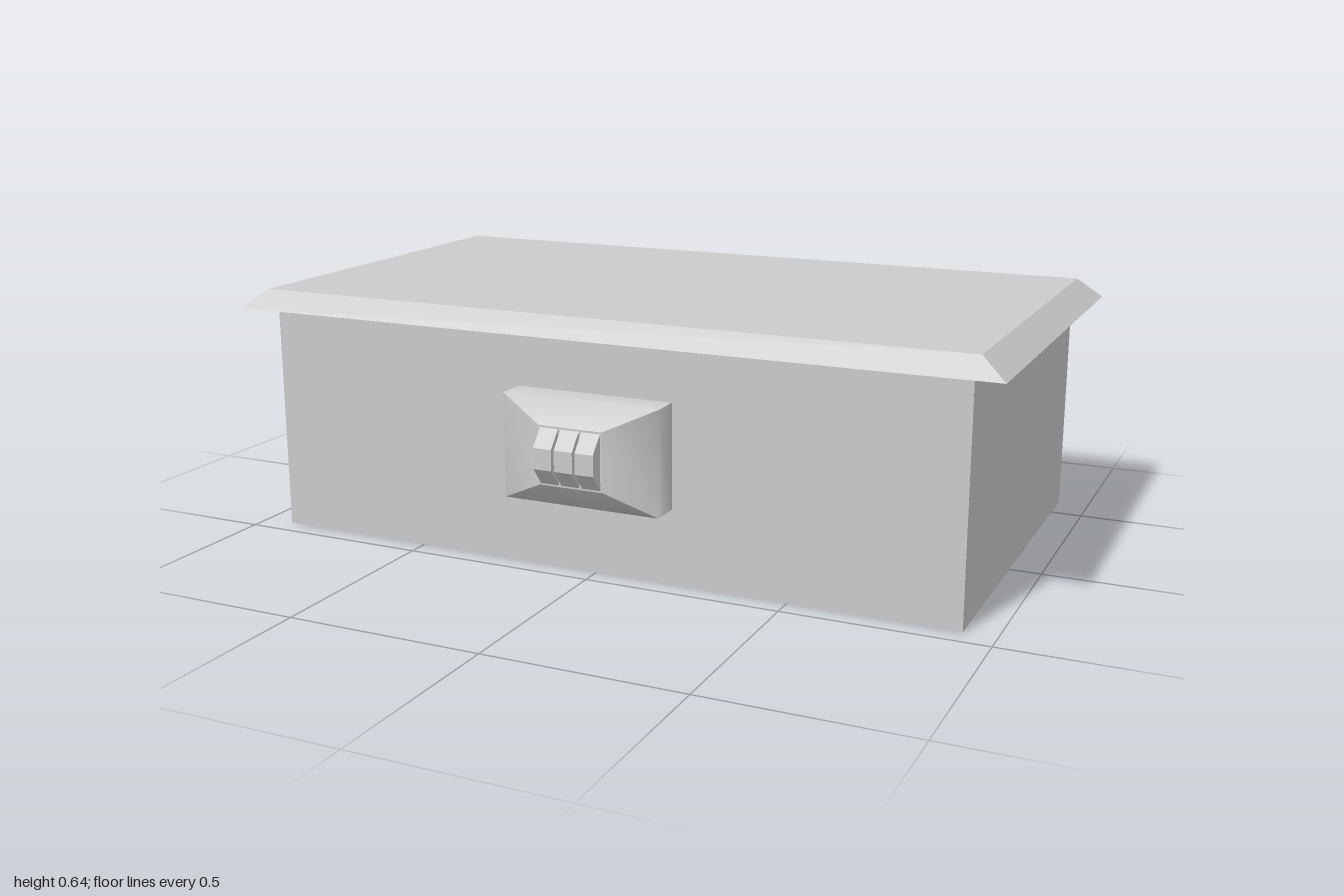
import * as THREE from 'three';

const material = new THREE.MeshStandardMaterial({ color: 0xcccccc });

function addMesh(parent, name, geometry) {
  const mesh = new THREE.Mesh(geometry, material);
  mesh.name = name;
  parent.add(mesh);
  return mesh;
}

// Stack of rectangles [z, x0, x1, y0, y1] along +z, capped at both ends.
// Each side is its own strip: smooth along its length, sharp at the corners.
function rectLoft(rings) {
  const corners = rings.map(([z, x0, x1, y0, y1]) =>
    [[x0, y0, z], [x1, y0, z], [x1, y1, z], [x0, y1, z]]);
  const positions = [];
  const index = [];
  for (let side = 0; side < 4; side++) {
    const start = positions.length / 3;
    corners.forEach((c, i) => {
      positions.push(...c[side], ...c[(side + 1) % 4]);
      if (i === 0) return;
      const a = start + 2 * (i - 1);
      index.push(a, a + 1, a + 3, a, a + 3, a + 2);
    });
  }
  const cap = (c) => {
    const s = positions.length / 3;
    positions.push(...c.flat());
    index.push(s, s + 1, s + 2, s, s + 2, s + 3);
  };
  cap([...corners[0]].reverse());
  cap(corners[corners.length - 1]);
  const geometry = new THREE.BufferGeometry();
  geometry.setAttribute('position', new THREE.Float32BufferAttribute(positions, 3));
  geometry.setIndex(index);
  geometry.computeVertexNormals();
  return geometry;
}

export function createModel() {
  const model = new THREE.Group();
  model.name = 'box';

  // Main body
  addMesh(model, 'body', new THREE.BoxGeometry(1.84, 0.59, 1.045))
    .position.set(0, 0.295, -0.0775);

  // Bevelled lid, overhanging the front and sides and flush at the back
  addMesh(model, 'lid', rectLoft([
    [0.59, -1, 1, -0.495, 0.602],
    [0.64, -0.937, 0.937, -0.46, 0.57],
  ]).rotateX(-Math.PI / 2));

  // Lock on the front: tapered housing with three dials
  const lock = new THREE.Group();
  lock.name = 'combinationLock';
  model.add(lock);
  addMesh(lock, 'lockHousing', rectLoft([
    [0.445, -0.207, 0.205, 0.19, 0.453],
    [0.52, -0.207, 0.205, 0.19, 0.453],
    [0.567, -0.085, 0.082, 0.25, 0.397],
  ]));

  const dialProfile = new THREE.Shape([
    [0.56, 0.254], [0.567, 0.254], [0.603, 0.298],
    [0.603, 0.35], [0.567, 0.392], [0.56, 0.392],
  ].map(([z, y]) => new THREE.Vector2(z, y)));
  const dialWidth = 0.048;
  const dialGeometry = new THREE.ExtrudeGeometry(dialProfile, { depth: dialWidth, bevelEnabled: false })
    .translate(0, 0, -dialWidth / 2)
    .rotateY(-Math.PI / 2);
  for (let i = -1; i <= 1; i++) {
    addMesh(lock, 'dial', dialGeometry).position.x = -0.002 + i * 0.055;
  }

  return model;
}
